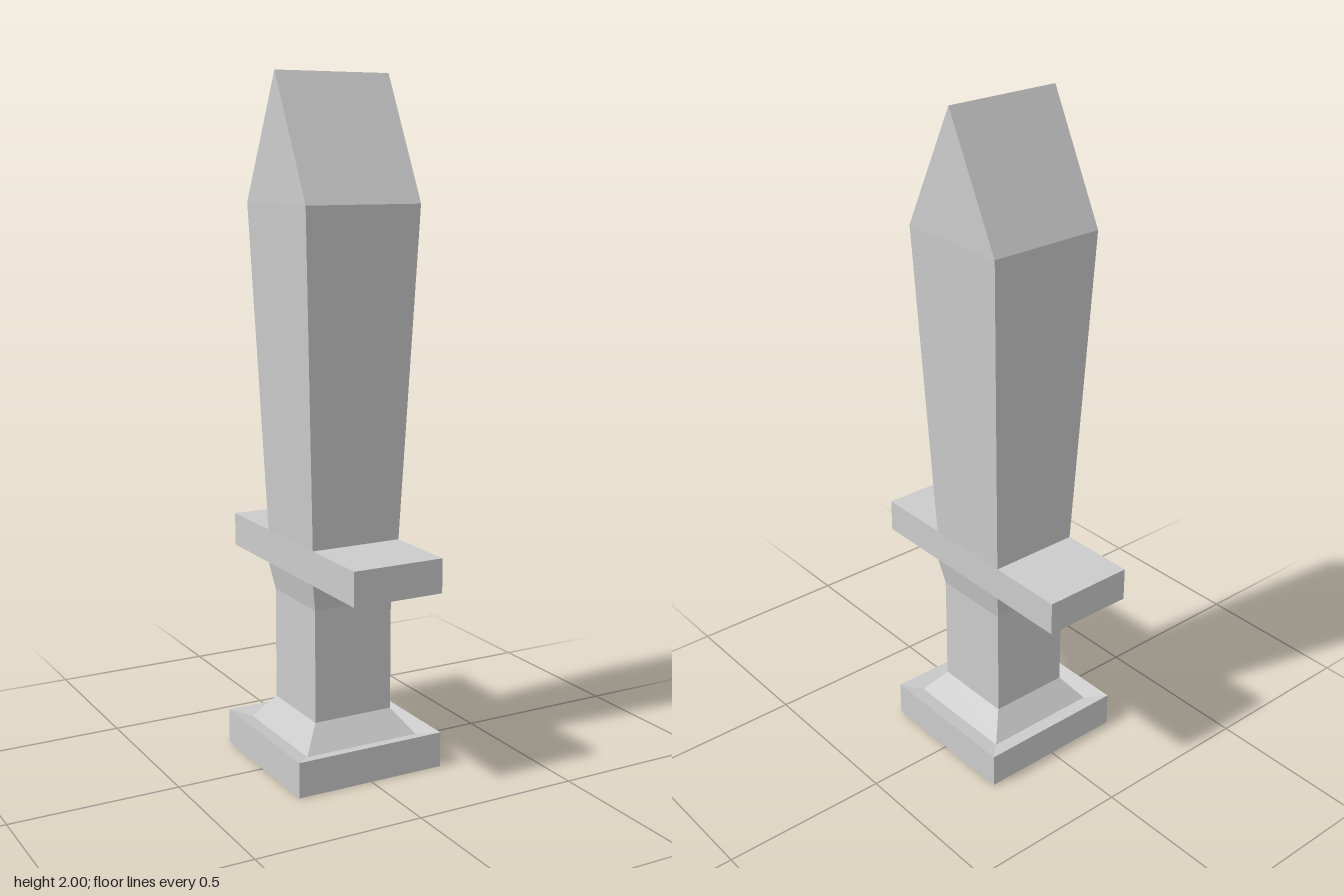
import * as THREE from 'three';

const material = new THREE.MeshStandardMaterial({ color: 0xcccccc, flatShading: true });

function addPart(group, name, geometry) {
  const mesh = new THREE.Mesh(geometry, material);
  mesh.name = name;
  group.add(mesh);
  return mesh;
}

// Square cross-sections stacked along y; each entry is [half width, height]
function squareLoft(profile) {
  const points = profile.map(([half, y]) => new THREE.Vector2(half * Math.SQRT2, y));
  return new THREE.LatheGeometry(points, 4, Math.PI / 4);
}

export function createModel() {
  const group = new THREE.Group();
  group.name = 'dagger';

  // Square pommel with shallow sunken top and base, rising to a bevelled collar
  addPart(group, 'pommel', squareLoft([
    [0, 0.013], [0.18, 0.013], [0.233, 0], [0.233, 0.105], [0.18, 0.092], [0.125, 0.165],
  ]));

  // Grip, flaring out just under the guard
  addPart(group, 'grip', squareLoft([[0.125, 0.165], [0.125, 0.5], [0.14, 0.58]]));

  // Crossguard running front to back
  addPart(group, 'guard', new THREE.BoxGeometry(0.28, 0.1, 0.75)).position.y = 0.63;

  // Blade widening upwards
  addPart(group, 'blade', squareLoft([[0.14, 0.68], [0.18, 1.64]]));

  // Wedge tip with its ridge along x
  const wedge = new THREE.Shape([
    new THREE.Vector2(-0.18, 1.64),
    new THREE.Vector2(0.18, 1.64),
    new THREE.Vector2(0, 2),
  ]);
  const tip = new THREE.ExtrudeGeometry(wedge, { depth: 0.36, bevelEnabled: false });
  tip.translate(0, 0, -0.18).rotateY(Math.PI / 2);
  addPart(group, 'bladeTip', tip);

  return group;
}
